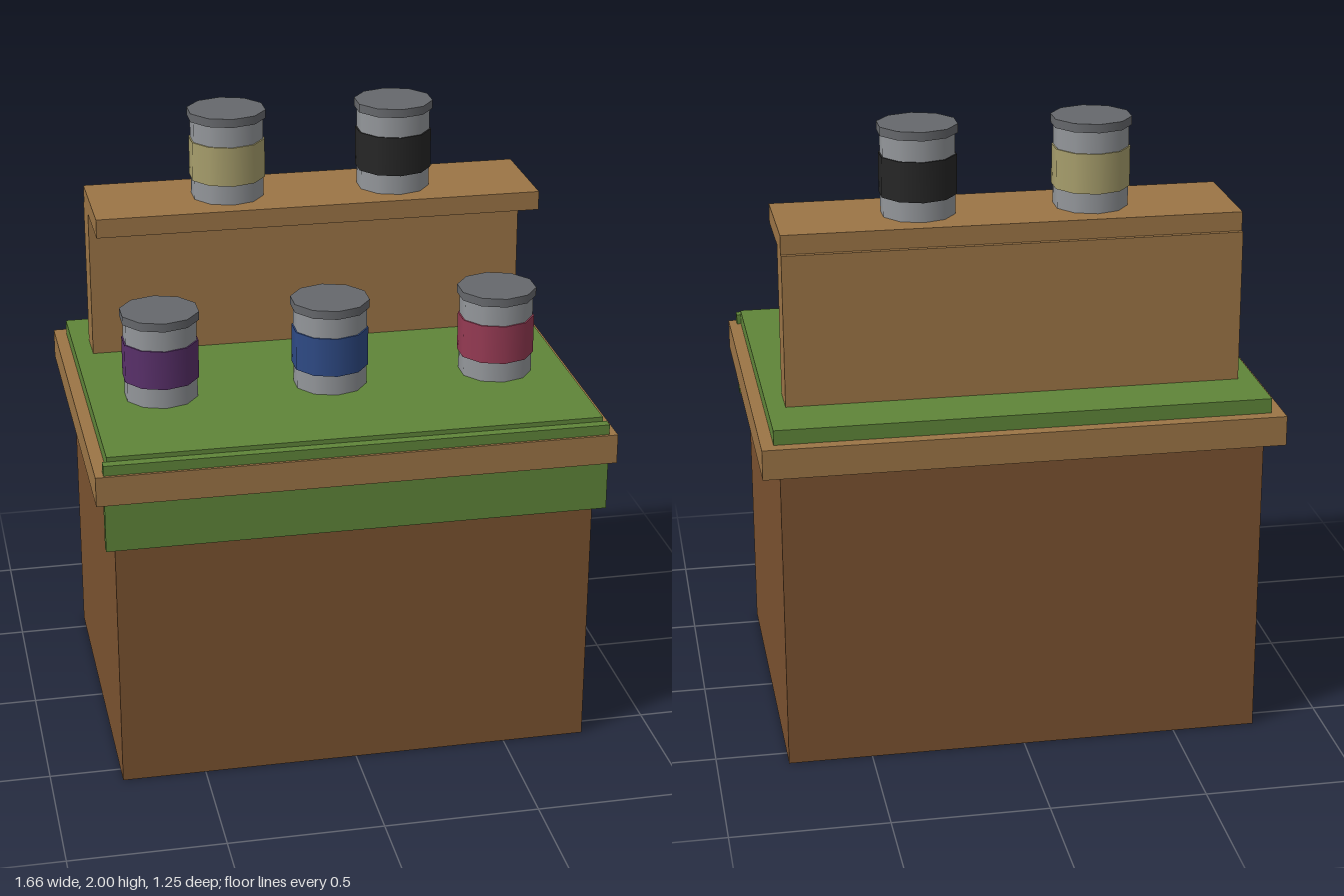
import * as THREE from 'three';

const material = (color) => new THREE.MeshStandardMaterial({ color });

export function createModel() {
  const model = new THREE.Group();
  model.name = 'jarStand';

  const cabinetWood = material(0x7a5230);
  const lightWood = material(0x9c7546);
  const cloth = material(0x5f8539);
  const glass = material(0x94979b);
  const lidMetal = material(0x66686c);

  // Box given by its extents along each axis
  const box = (name, [x0, x1], [y0, y1], [z0, z1], mat) => {
    const mesh = new THREE.Mesh(new THREE.BoxGeometry(x1 - x0, y1 - y0, z1 - z0), mat);
    mesh.position.set((x0 + x1) / 2, (y0 + y1) / 2, (z0 + z1) / 2);
    mesh.name = name;
    model.add(mesh);
  };

  // Counter with its cloth
  box('cabinet', [-0.77, 0.77], [0, 1.01], [-0.57, 0.57], cabinetWood);
  box('counterTop', [-0.828, 0.828], [1.01, 1.107], [-0.625, 0.625], lightWood);
  box('cloth', [-0.788, 0.788], [1.107, 1.155], [-0.585, 0.585], cloth);
  box('clothDrape', [-0.802, 0.802], [0.85, 1.14], [0.583, 0.616], cloth);

  // Raised shelf
  box('shelfBack', [-0.73, 0.73], [1.155, 1.648], [-0.39, -0.262], lightWood);
  box('shelfBoard', [-0.73, 0.73], [1.648, 1.71], [-0.375, -0.018], lightWood);

  // Ten-sided jar: body, wrapped label and lid
  const jar = (name, x, y, z, color) => {
    const group = new THREE.Group();
    group.name = name;
    group.position.set(x, y, z);
    const ring = (part, radius, y0, y1, mat) => {
      const mesh = new THREE.Mesh(new THREE.CylinderGeometry(radius, radius, y1 - y0, 10), mat);
      mesh.position.y = (y0 + y1) / 2;
      mesh.name = part;
      group.add(mesh);
    };
    ring('jarBody', 0.12, 0, 0.265, glass);
    ring('jarLabel', 0.125, 0.066, 0.195, material(color));
    ring('jarLid', 0.129, 0.264, 0.292, lidMetal);
    model.add(group);
  };

  // Jars on the counter and on the shelf
  jar('purpleJar', -0.555, 1.155, 0.128, 0x59306a);
  jar('blueJar', 0, 1.155, 0.128, 0x2e4a85);
  jar('redJar', 0.555, 1.155, 0.128, 0x953a53);
  jar('yellowJar', -0.277, 1.708, -0.197, 0xa79e6c);
  jar('blackJar', 0.277, 1.708, -0.197, 0x262626);

  return model;
}
